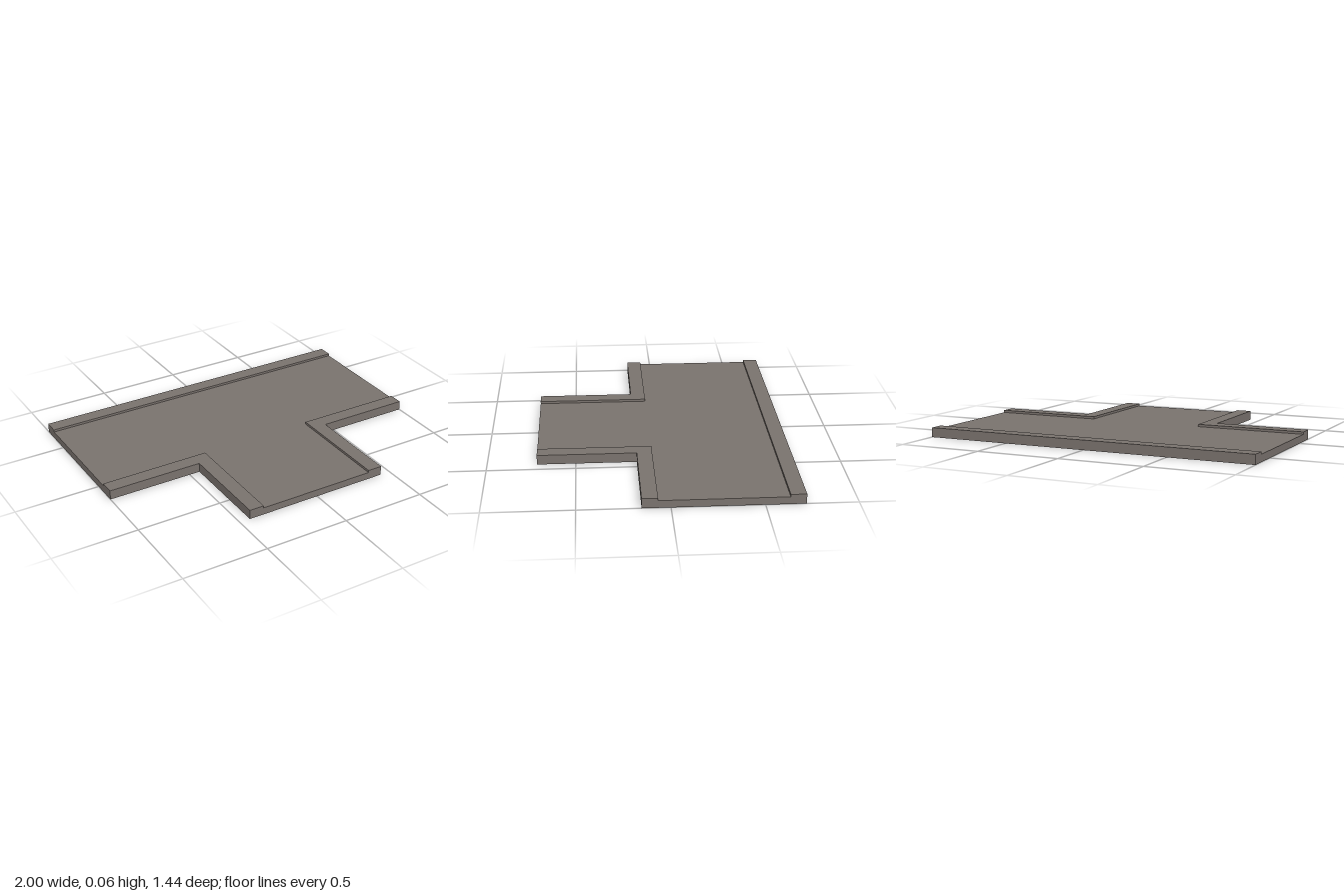
import * as THREE from 'three';
import { mergeGeometries } from 'three/addons/utils/BufferGeometryUtils.js';

const ROAD = 0.042, CURB = 0.056;     // heights
const IN = 0.35, OUT = 0.437;         // half widths inside and outside the curbs
const MID = -0.282;                   // centre line of the through road
const BACK = MID - OUT, FRONT = -BACK;
const BACK_IN = MID - IN, FRONT_IN = MID + IN, FRONT_OUT = MID + OUT;

// Flat horizontal sheet from [x, z] corners
function sheet(points, y) {
  const shape = new THREE.Shape(points.map(([x, z]) => new THREE.Vector2(x, -z)));
  return new THREE.ShapeGeometry(shape).rotateX(-Math.PI / 2).translate(0, y, 0);
}

// Upright strips along a path of [x, z] points; a path towards +x faces the front
function wall(points, y0, y1) {
  const strips = [];
  for (let i = 0; i + 1 < points.length; i++) {
    const [ax, az] = points[i], [bx, bz] = points[i + 1];
    const strip = new THREE.PlaneGeometry(Math.hypot(bx - ax, bz - az), y1 - y0);
    strip.rotateY(-Math.atan2(bz - az, bx - ax));
    strip.translate((ax + bx) / 2, (y0 + y1) / 2, (az + bz) / 2);
    strips.push(strip);
  }
  return mergeGeometries(strips);
}

export function createModel() {
  const group = new THREE.Group();
  const stone = new THREE.MeshStandardMaterial({ color: 0x7a736e, side: THREE.DoubleSide });
  stone.name = 'warm grey stone';

  const add = (name, ...geometries) => {
    const mesh = new THREE.Mesh(mergeGeometries(geometries), stone);
    mesh.name = name;
    group.add(mesh);
  };

  // Sunken T-shaped road surface
  add('roadSurface', sheet([
    [-1, BACK_IN], [-1, FRONT_IN], [-IN, FRONT_IN], [-IN, FRONT],
    [IN, FRONT], [IN, FRONT_IN], [1, FRONT_IN], [1, BACK_IN],
  ], ROAD));

  // Straight curb along the back: top, step down to the road, outer skirt
  add('backCurb',
    sheet([[-1, BACK], [-1, BACK_IN], [1, BACK_IN], [1, BACK]], CURB),
    wall([[-1, BACK_IN], [1, BACK_IN]], ROAD, CURB),
    wall([[1, BACK], [-1, BACK]], 0, CURB));

  // L-shaped corner curbs on both sides of the branch
  for (const s of [1, -1]) {
    const inner = [[s, FRONT_IN], [s * IN, FRONT_IN], [s * IN, FRONT]];
    const outer = [[s * OUT, FRONT], [s * OUT, FRONT_OUT], [s, FRONT_OUT]];
    const order = (path) => (s > 0 ? path : [...path].reverse());
    add(s > 0 ? 'leftCornerCurb' : 'rightCornerCurb',
      sheet([...inner, ...outer], CURB),
      wall(order(inner), ROAD, CURB),
      wall(order(outer), 0, CURB));

    // Side end faces, lower across the road
    add(s > 0 ? 'leftEnd' : 'rightEnd',
      wall(order([[s, FRONT_OUT], [s, FRONT_IN]]), 0, CURB),
      wall(order([[s, FRONT_IN], [s, BACK_IN]]), 0, ROAD),
      wall(order([[s, BACK_IN], [s, BACK]]), 0, CURB));
  }

  // Front end face of the branch; the underside stays open
  add('frontEnd',
    wall([[-OUT, FRONT], [-IN, FRONT]], 0, CURB),
    wall([[-IN, FRONT], [IN, FRONT]], 0, ROAD),
    wall([[IN, FRONT], [OUT, FRONT]], 0, CURB));

  return group;
}
